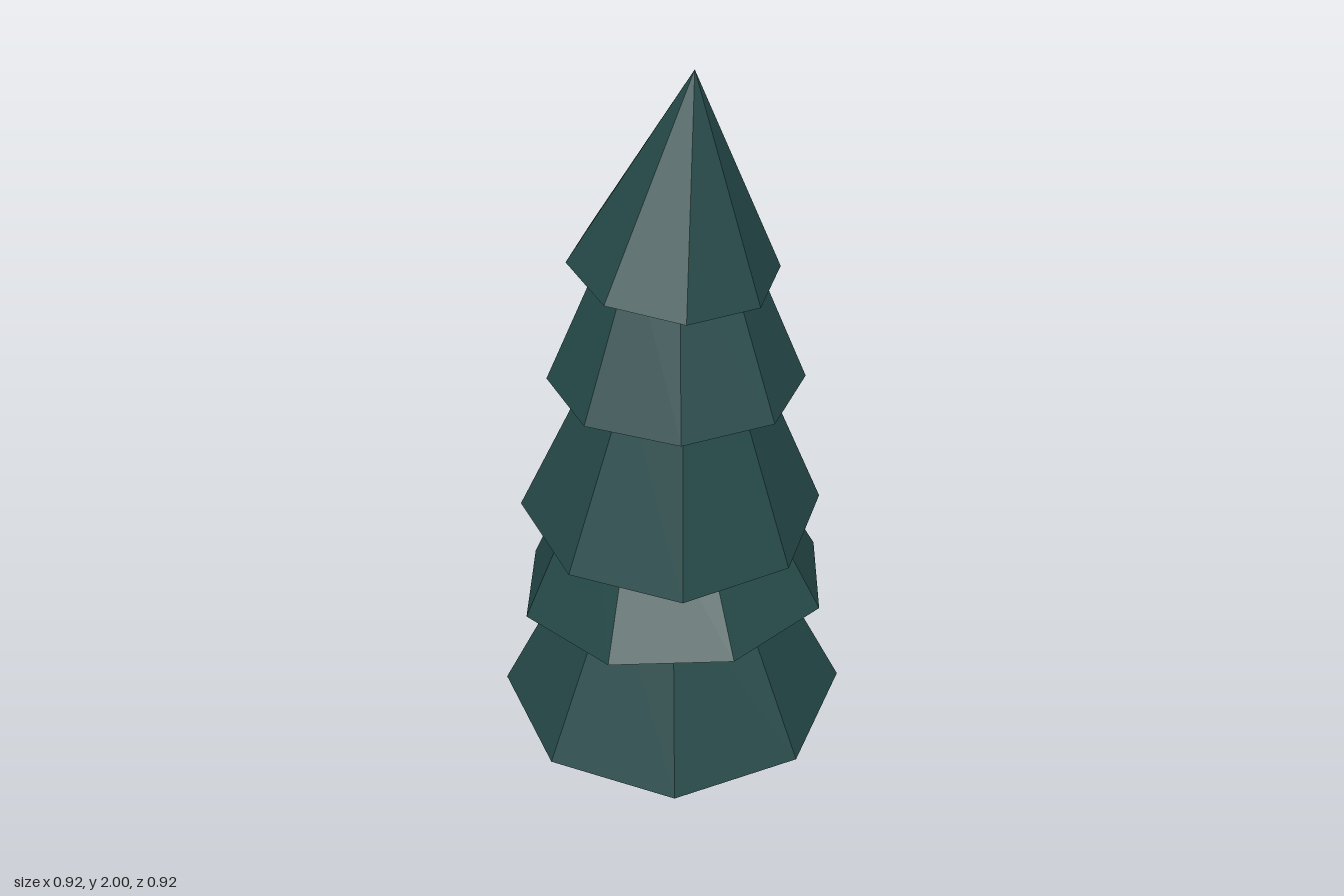
import * as THREE from 'three';

const SIDES = 8;

// One tier of branches: an eight-sided cone, cut off where the next tier covers it.
// centre = middle of the base, tilt = slope of the base along x and z,
// turn = angle of a corner from +x towards +z, in degrees.
function makeTier({ name, centre, radius, height, cut = 1, turn, tilt = [0, 0], hollow }, material) {
  const profile = [];
  if (hollow) {
    profile.push([0, hollow.depth], [hollow.radius, hollow.depth], [hollow.radius, 0]);
  } else {
    profile.push([0, 0]);
  }
  profile.push([radius, 0], [radius * (1 - cut), height * cut]);
  if (cut < 1) profile.push([0, height * cut]);

  const geometry = new THREE.LatheGeometry(
    profile.map(([r, y]) => new THREE.Vector2(r, y)),
    SIDES,
    THREE.MathUtils.degToRad(90 - turn)
  );
  const tier = new THREE.Mesh(geometry, material);
  tier.name = name;
  tier.position.set(...centre);
  const axis = new THREE.Vector3(-tilt[0], 1, -tilt[1]).normalize();
  tier.quaternion.setFromUnitVectors(new THREE.Vector3(0, 1, 0), axis);
  return tier;
}

export function createModel() {
  const tree = new THREE.Group();
  tree.name = 'tree';

  const foliage = new THREE.MeshStandardMaterial({ color: 0x254848, flatShading: true });
  foliage.name = 'dark teal foliage';

  // Tiers from the ground up; the lowest has an open socket underneath
  const tiers = [
    { name: 'bottomTier', centre: [0, 0, 0], radius: 0.495, height: 1.03, cut: 0.53, turn: 23.6,
      hollow: { radius: 0.27, depth: 0.4 } },
    { name: 'lowerTier', centre: [0, 0.375, -0.01], radius: 0.447, height: 0.87, cut: 0.52, turn: 2.6,
      tilt: [0.09, 0.108] },
    { name: 'middleTier', centre: [0, 0.685, 0.01], radius: 0.418, height: 1.0, cut: 0.52, turn: 20,
      tilt: [-0.04, -0.02] },
    { name: 'upperTier', centre: [0.01, 1.097, -0.005], radius: 0.347, height: 0.84, cut: 0.52, turn: 22.5,
      tilt: [0.025, 0.085] },
    { name: 'topTier', centre: [0, 1.446, -0.013], radius: 0.28, height: 0.556, turn: 18,
      tilt: [-0.085, 0.03] },
  ];
  for (const tier of tiers) tree.add(makeTier(tier, foliage));

  return tree;
}
